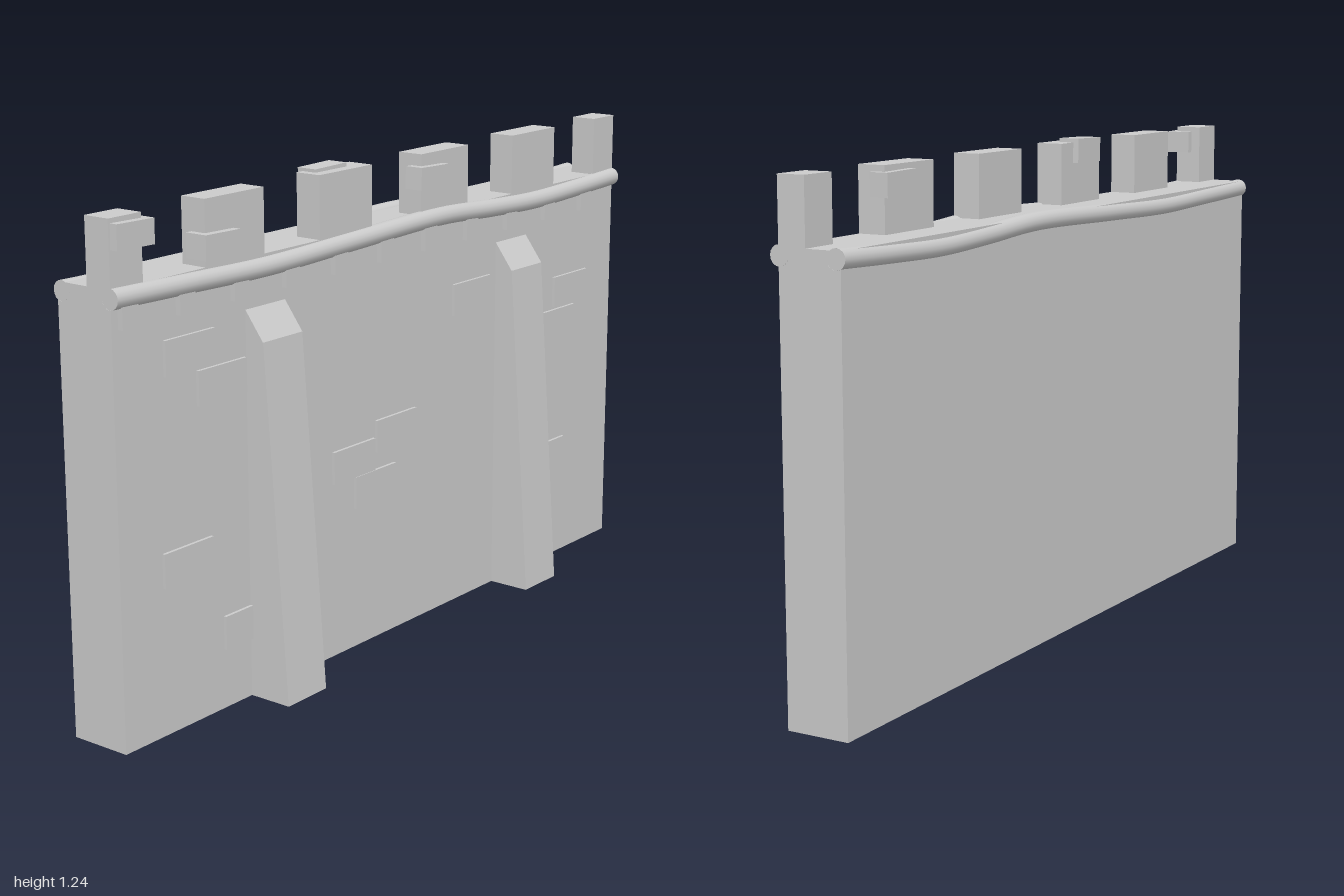
import * as THREE from 'three';

export function createModel() {
  const model = new THREE.Group();
  const mat = new THREE.MeshStandardMaterial({ color: 0xcccccc, side: THREE.DoubleSide });

  const add = (name, geometry, parent = model) => {
    const mesh = new THREE.Mesh(geometry, mat);
    mesh.name = name;
    parent.add(mesh);
    return mesh;
  };
  const group = (name) => {
    const g = new THREE.Group();
    g.name = name;
    model.add(g);
    return g;
  };
  // Box given by its limits on each axis
  const block = (name, x0, x1, y0, y1, z0, z1, parent) => {
    const mesh = add(name, new THREE.BoxGeometry(x1 - x0, y1 - y0, z1 - z0), parent);
    mesh.position.set((x0 + x1) / 2, (y0 + y1) / 2, (z0 + z1) / 2);
    return mesh;
  };

  // Main wall
  const front = 0.03;
  block('wall', -1, 1, 0, 1.07, -0.13, front);

  // Merlons: four full ones and a half one at each end
  const merlons = group('merlons');
  for (let i = 0; i < 6; i++) {
    const x = -1 + i * 0.4;
    block('merlon', Math.max(x - 0.1, -1), Math.min(x + 0.1, 1), 1.04, 1.225, -0.04, front, merlons);
  }

  // Loose stones standing proud of the merlons: limits and tilt
  const looseStones = group('looseStones');
  [
    [-0.995, -0.88, 1.155, 1.213, -0.015, 0.05, -0.02],
    [-0.72, -0.605, 1.088, 1.147, -0.01, 0.05, -0.02],
    [-0.277, -0.16, 1.172, 1.234, -0.055, 0.0, 0.02],
    [0.075, 0.19, 1.137, 1.194, 0.0, 0.05, -0.03],
    [0.6, 0.715, 1.155, 1.211, -0.058, -0.01, -0.02],
  ].forEach(([x0, x1, y0, y1, z0, z1, tilt]) => {
    block('looseStone', x0, x1, y0, y1, z0, z1, looseStones).rotation.z = tilt;
  });

  // Sagging rounded mouldings along the front and back of the walkway
  const sag = [[-1, 1.05], [-0.75, 1.044], [-0.5, 1.039], [-0.2, 1.047], [0.18, 1.057],
    [0.4, 1.046], [0.6, 1.039], [0.8, 1.044], [1, 1.052]];
  const moulding = (name, z) => {
    const g = group(name);
    const r = 0.024;
    const path = new THREE.CatmullRomCurve3(sag.map(([x, y]) => new THREE.Vector3(x, y, z)));
    add('rail', new THREE.TubeGeometry(path, 48, r, 16), g);
    for (const [x, y] of [sag[0], sag[sag.length - 1]]) {
      const cap = add('railEnd', new THREE.CircleGeometry(r, 16), g);
      cap.position.set(x, y, z);
      cap.rotation.y = Math.sign(x) * Math.PI / 2;
    }
  };
  moulding('frontMoulding', 0.028);
  moulding('backMoulding', -0.118);

  // Small corbels under the front moulding
  const corbels = group('corbels');
  for (let i = 0; i < 11; i++) {
    const x = -0.955 + i * 0.18;
    block('corbel', x - 0.025, x + 0.025, 0.98, 1.04, 0.01, 0.044, corbels);
  }

  // Battered buttresses with sloping tops
  const profile = new THREE.Shape([
    new THREE.Vector2(0, 0), new THREE.Vector2(0.145, 0), new THREE.Vector2(0.082, 0.88),
    new THREE.Vector2(front, 0.95), new THREE.Vector2(0, 0.95),
  ]);
  for (const x of [-0.5, 0.5]) {
    const g = new THREE.ExtrudeGeometry(profile, { depth: 0.14, bevelEnabled: false });
    g.rotateY(-Math.PI / 2);
    g.translate(0.07, 0, 0);
    add('buttress', g).position.x = x;
  }

  // Raised stones on the front face: left edge and bottom edge
  const raisedStones = group('raisedStones');
  [
    [-0.845, 0.848], [-0.74, 0.758], [-0.865, 0.358], [-0.665, 0.148],
    [-0.26, 0.452], [-0.09, 0.495], [-0.175, 0.368], [0.235, 0.787],
    [0.706, 0.726], [0.645, 0.635], [0.5, 0.357], [0.606, 0.258], [0.54, 0.167],
  ].forEach(([x, y]) => block('raisedStone', x, x + 0.163, y, y + 0.083, 0, 0.038, raisedStones));

  return model;
}
